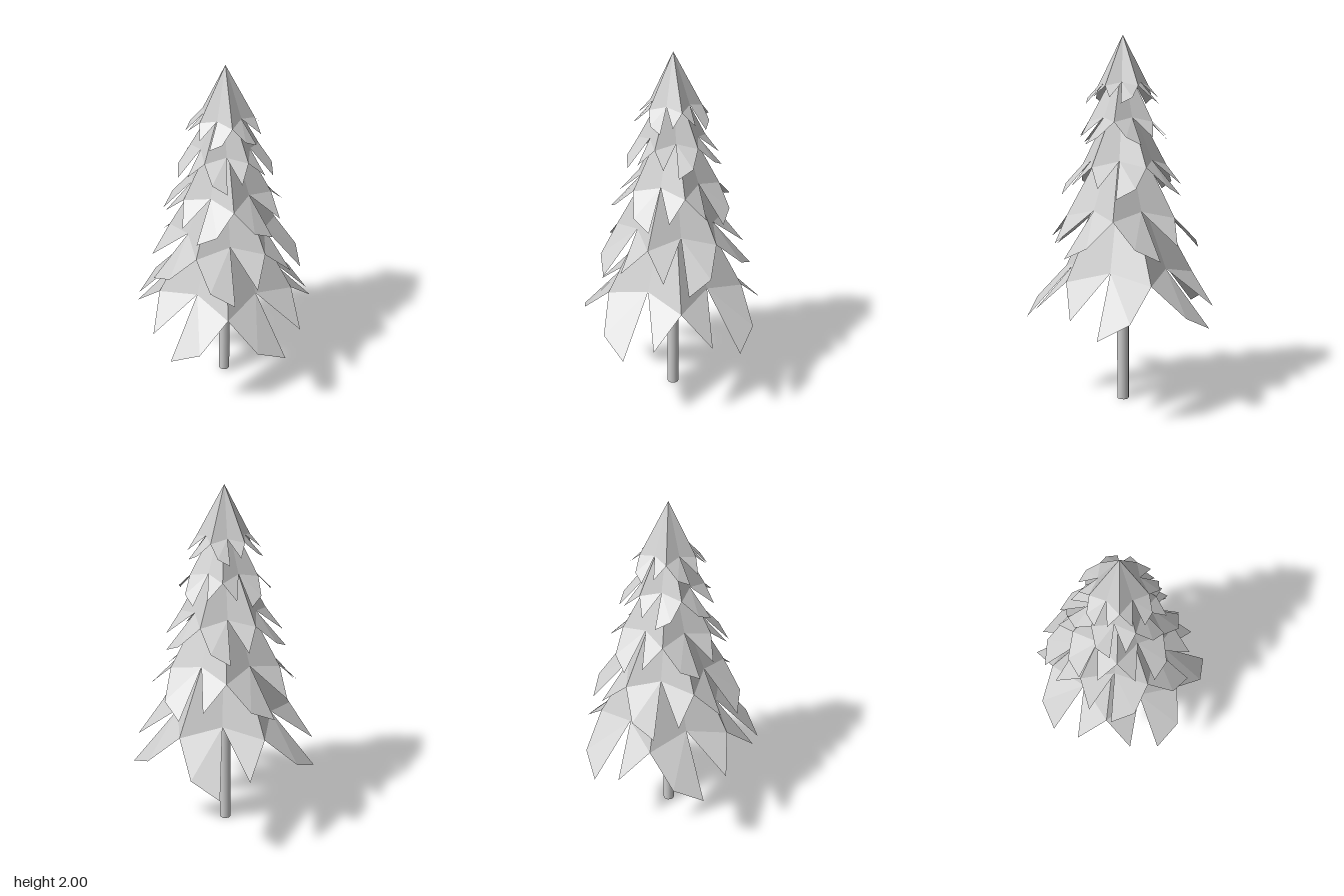
import * as THREE from 'three';

const CENTER_X = 0.025;

// Each tier: scale, height of the leaf tips, angle of the first tip (degrees),
// and for each of the five tips the side (+1 / -1) of the leaf that carries it.
const TIERS = [
  { s: 1.0, y: 0.48, turn: 36, sides: [1, -1, -1, 1, -1] },
  { s: 0.8, y: 0.85, turn: 4.6, sides: [1, -1, -1, 1, -1] },
  { s: 0.63, y: 1.16, turn: 44, sides: [1, -1, -1, 1, -1] },
  { s: 0.48, y: 1.43, turn: 0, sides: [1, -1, 1, -1, -1] },
  { s: 0.38, y: 1.64, turn: 47, sides: [1, -1, -1, 1, -1] },
];

// A drooping skirt of ten torn leaves around one apex
function skirtGeometry({ s, y, turn, sides }) {
  const pos = [];
  const point = (deg, r, h) => {
    const a = THREE.MathUtils.degToRad(deg);
    return [r * s * Math.cos(a), y + h * s, -r * s * Math.sin(a)];
  };
  const apex = point(0, 0, 0.947);
  sides.forEach((side, i) => {
    const deg = turn + 72 * i;
    const slit = point(deg, 0.27, 0.29);
    const tip = point(deg, 0.53, 0);
    for (const d of [-1, 1]) {
      const valley = point(deg + 36 * d, 0.385, 0.24);
      const shoulder = point(deg + 18 * d, 0.5, 0.08);
      const tri = (a, b, c) => pos.push(...a, ...(d > 0 ? b : c), ...(d > 0 ? c : b));
      tri(apex, slit, valley);
      tri(slit, shoulder, valley);
      if (d === side) tri(slit, tip, shoulder); // long leaf
    }
  });
  const geo = new THREE.BufferGeometry();
  geo.setAttribute('position', new THREE.Float32BufferAttribute(pos, 3));
  geo.computeVertexNormals();
  return geo;
}

export function createModel() {
  const group = new THREE.Group();
  group.name = 'pineTree';

  // Trunk
  const trunk = new THREE.Mesh(
    new THREE.CylinderGeometry(0.033, 0.033, 1.4, 12),
    new THREE.MeshStandardMaterial({ color: 0xcccccc })
  );
  trunk.name = 'trunk';
  trunk.position.set(CENTER_X, 0.7, 0);
  group.add(trunk);

  // Foliage tiers
  const leafMaterial = new THREE.MeshStandardMaterial({
    color: 0xcccccc, flatShading: true, side: THREE.DoubleSide,
  });
  TIERS.forEach((tier, i) => {
    const skirt = new THREE.Mesh(skirtGeometry(tier), leafMaterial);
    skirt.name = `foliageTier${i + 1}`;
    skirt.position.x = CENTER_X;
    group.add(skirt);
  });

  return group;
}
